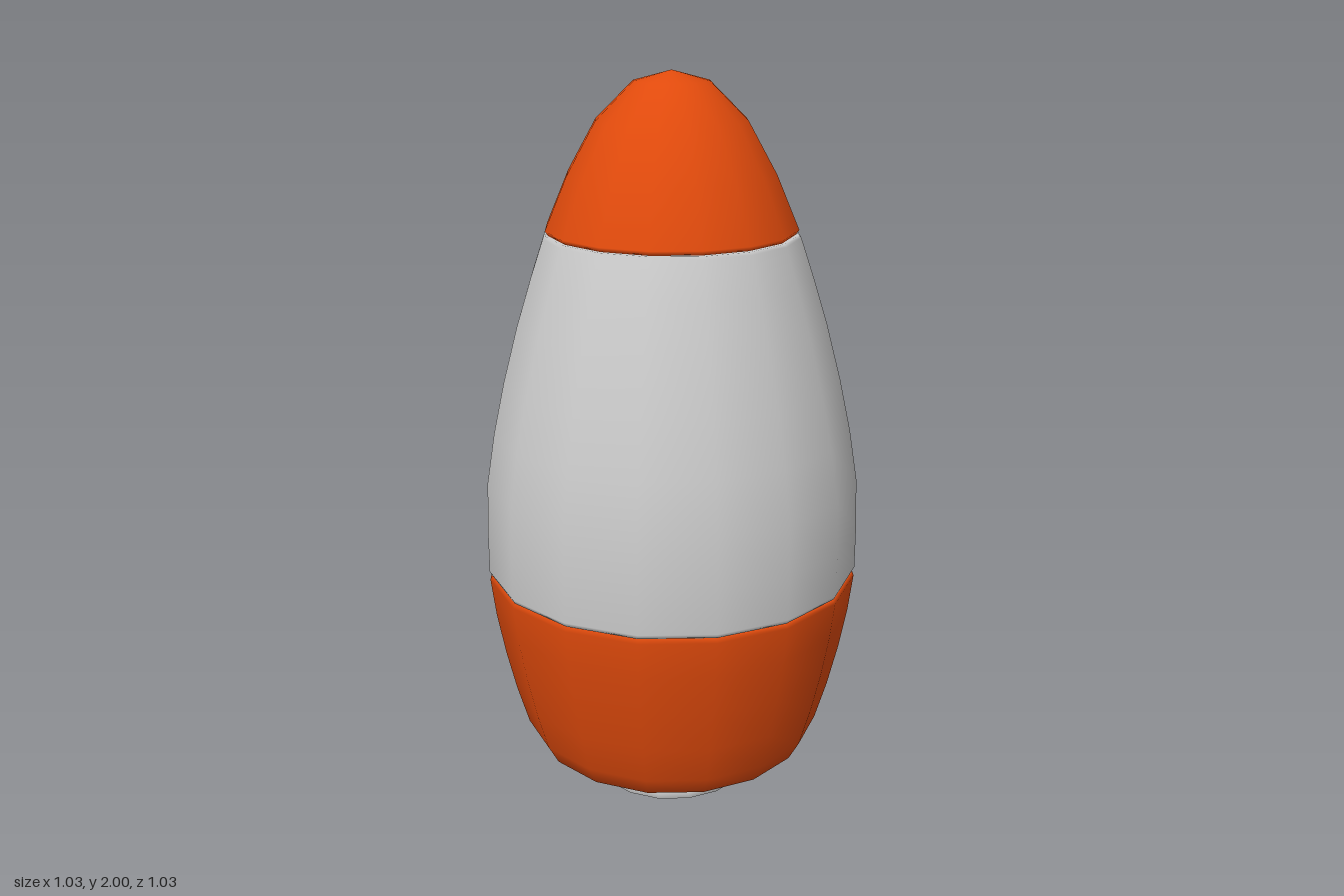
import * as THREE from 'three';

const ORANGE = 0xe04a0c;
const GREY = 0xcccccc;

// Sixteen-sided turned part; profile is [radius, height] from bottom to top
function turned(name, color, profile) {
  const points = profile.map(([r, y]) => new THREE.Vector2(r, y));
  const mesh = new THREE.Mesh(
    new THREE.LatheGeometry(points, 16),
    new THREE.MeshStandardMaterial({ color, side: THREE.DoubleSide })
  );
  mesh.name = name;
  return mesh;
}

export function createModel() {
  const rocket = new THREE.Group();
  rocket.name = 'rocket';

  // Engine nozzle with a shallow hollow underneath
  rocket.add(turned('nozzle', GREY, [
    [0, 0.05], [0.13, 0.04], [0.215, 0], [0.222, 0], [0.222, 0.02],
    [0.21, 0.05], [0.185, 0.08], [0.16, 0.1], [0.16, 0.12],
  ]));

  // Lower hull, tapering to a rounded base
  rocket.add(turned('lowerHull', ORANGE, [
    [0, 0.1], [0.345, 0.1], [0.39, 0.125], [0.42, 0.18], [0.452, 0.29],
    [0.48, 0.41], [0.502, 0.53], [0.515, 0.635], [0.508, 0.645], [0, 0.645],
  ]));

  // Middle hull, narrowing towards the nose
  rocket.add(turned('middleHull', GREY, [
    [0, 0.648], [0.51, 0.648], [0.516, 0.66], [0.516, 0.78], [0.511, 0.92],
    [0.488, 1.06], [0.457, 1.2], [0.417, 1.35], [0.376, 1.48],
    [0.342, 1.58], [0.335, 1.587], [0, 1.587],
  ]));

  // Nose cone
  rocket.add(turned('noseCone', ORANGE, [
    [0, 1.588], [0.328, 1.588], [0.336, 1.6], [0.276, 1.74],
    [0.2, 1.875], [0.1, 1.973], [0, 2],
  ]));

  return rocket;
}
